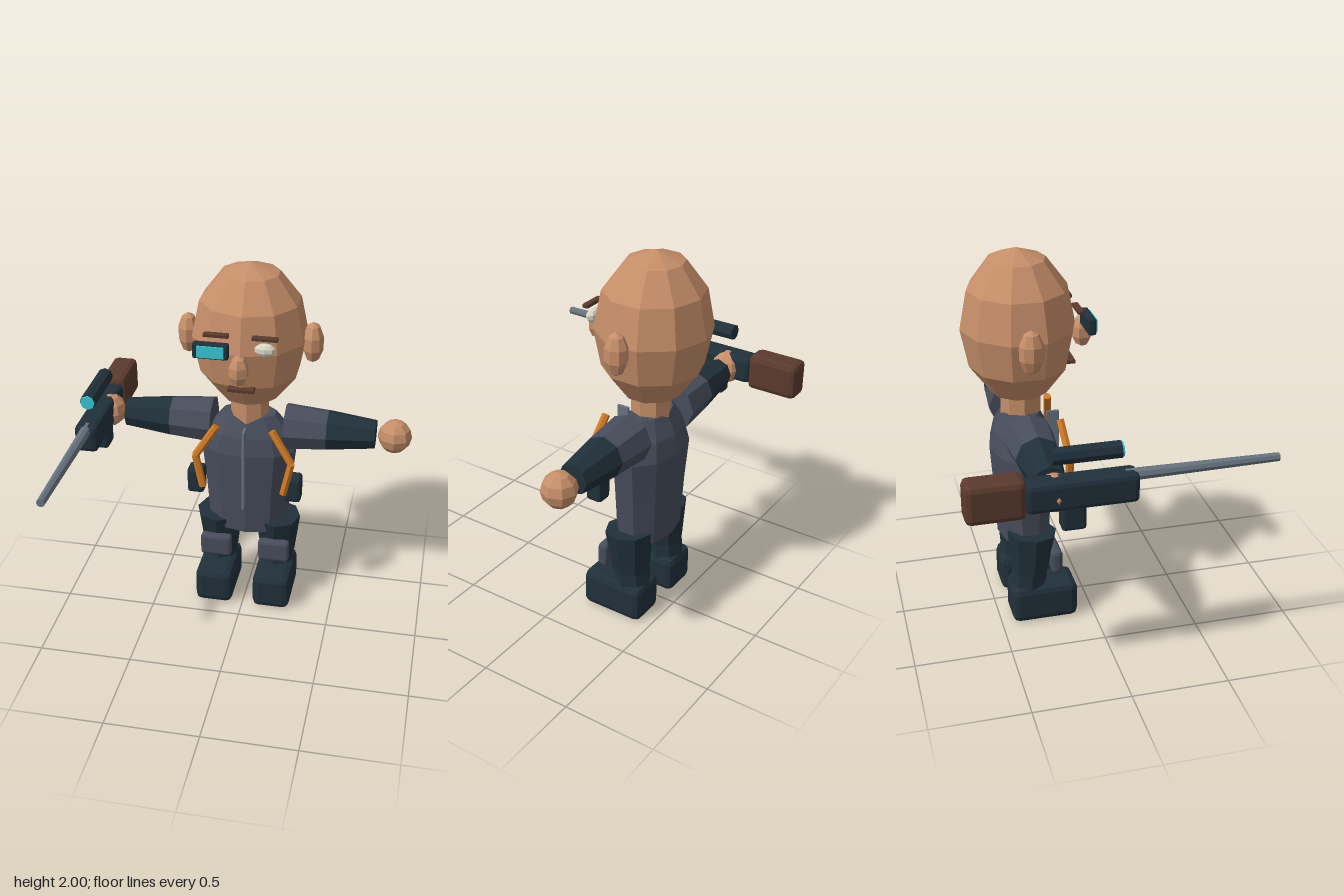
import * as THREE from 'three';
import { RoundedBoxGeometry } from 'three/addons/geometries/RoundedBoxGeometry.js';

const material = (name, color) => {
  const m = new THREE.MeshStandardMaterial({ color, flatShading: true });
  m.name = name;
  return m;
};

export function createModel() {
  const skin = material('skin', 0xc68e69);
  const jacket = material('jacket grey', 0x474d5b);
  const dark = material('dark navy', 0x20303a);
  const brown = material('brown', 0x5a3a2d);
  const orange = material('orange', 0xd27b24);
  const cyan = material('cyan glass', 0x36c8d4);
  const eyeWhite = material('eye white', 0xd9d8c6);
  const metal = material('metal', 0x67737f);

  const model = new THREE.Group();
  model.name = 'riflemanFigure';

  const add = (name, geometry, mat, x = 0, y = 0, z = 0, parent = model) => {
    const mesh = new THREE.Mesh(geometry, mat);
    mesh.name = name;
    mesh.position.set(x, y, z);
    parent.add(mesh);
    return mesh;
  };
  // Faceted ellipsoid with a vertex column facing the front
  const ball = (name, mat, [x, y, z], [rx, ry, rz], sides, rings, parent) =>
    add(name, new THREE.SphereGeometry(1, sides, rings).rotateY(Math.PI / 2).scale(rx, ry, rz), mat, x, y, z, parent);
  // Chamfered block given by its lower and upper corners
  const block = (name, mat, a, b, bevel, parent) => {
    const size = b.map((v, i) => v - a[i]);
    const mid = b.map((v, i) => (v + a[i]) / 2);
    return add(name, new RoundedBoxGeometry(...size, 1, bevel), mat, ...mid, parent);
  };
  // Tapered prism running from point a to point b
  const limb = (name, mat, a, b, ra, rb, sides = 8, parent = model) => {
    const from = new THREE.Vector3(...a), to = new THREE.Vector3(...b);
    const dir = to.clone().sub(from);
    const mesh = add(name, new THREE.CylinderGeometry(rb, ra, dir.length(), sides), mat, 0, 0, 0, parent);
    mesh.position.copy(from).add(to).multiplyScalar(0.5);
    mesh.quaternion.setFromUnitVectors(new THREE.Vector3(0, 1, 0), dir.normalize());
    return mesh;
  };

  // Head and face
  ball('head', skin, [0, 1.6, -0.33], [0.31, 0.4, 0.293], 10, 6);
  limb('neck', skin, [0, 1.1, -0.325], [0, 1.26, -0.325], 0.105, 0.105);
  ball('nose', skin, [0, 1.54, 0], [0.056, 0.085, 0.055], 6, 5);
  ball('eye', eyeWhite, [0.125, 1.64, -0.06], [0.056, 0.036, 0.03], 8, 5);
  block('mouth', brown, [-0.07, 1.39, -0.1], [0.07, 1.41, -0.05], 0.004);
  for (const s of [1, -1]) {
    ball('ear', skin, [s * 0.332, 1.58, -0.33], [0.058, 0.114, 0.065], 8, 5);
    block('eyebrow', brown, [s * 0.125 - 0.066, 1.695, -0.068], [s * 0.125 + 0.066, 1.715, -0.036], 0.004);
  }

  // Eyepiece over the right eye
  block('eyepiece', dark, [-0.235, 1.597, -0.025], [-0.05, 1.683, 0.016], 0.01);
  add('eyepieceLens', new THREE.BoxGeometry(0.138, 0.062, 0.009), cyan, -0.141, 1.64, 0.02);

  // Jacket body, flattened front to back
  const profile = [[0, 0.44], [0.225, 0.44], [0.246, 0.72], [0.27, 0.94], [0.235, 1.04], [0.15, 1.145], [0, 1.15]];
  add('torso', new THREE.LatheGeometry(profile.map(p => new THREE.Vector2(...p)), 10).scale(1, 1, 0.62), jacket, 0, 0, -0.328);
  block('zip', metal, [-0.007, 0.63, -0.19], [0.007, 1.11, -0.125], 0.002);

  for (const s of [1, -1]) {
    // Sleeves
    limb('upperArm', jacket, [s * 0.2, 1.07, -0.328], [s * 0.435, 1.07, -0.328], 0.13, 0.111);
    limb('forearm', dark, [s * 0.43, 1.07, -0.328], [s * 0.688, 1.07, -0.328], 0.112, 0.08);
    ball('hand', skin, [s * 0.79, 1.07, -0.328], [0.092, 0.092, 0.092], 8, 6);

    // Harness strap and pouch
    const path = [[0.15, 1.125, -0.152], [0.262, 0.95, -0.128], [0.222, 0.76, -0.125]].map(([x, y, z]) => [s * x, y, z]);
    limb('strapUpper', orange, path[0], path[1], 0.021, 0.021, 6);
    limb('strapLower', orange, path[1], path[2], 0.021, 0.021, 6);
    const px = s * 0.268;
    block('pouch', dark, [px - 0.047, 0.7, -0.23], [px + 0.047, 0.85, -0.137], 0.018);

    // Leg, knee pad and boot
    const lx = s * 0.165;
    limb('thigh', dark, [lx, 0.27, -0.328], [lx, 0.505, -0.313], 0.1, 0.13);
    limb('shin', dark, [lx, 0.17, -0.338], [lx, 0.29, -0.332], 0.1, 0.092);
    block('kneePad', jacket, [lx - 0.088, 0.27, -0.225], [lx + 0.088, 0.4, -0.168], 0.018);
    block('boot', dark, [lx - 0.105, 0, -0.44], [lx + 0.105, 0.205, -0.088], 0.035);
  }

  // Rifle held in the right hand
  const rifle = new THREE.Group();
  rifle.name = 'rifle';
  rifle.position.x = -0.815;
  model.add(rifle);
  block('stock', brown, [-0.07, 0.99, -0.76], [0.07, 1.19, -0.475], 0.03, rifle);
  block('receiver', dark, [-0.062, 1.008, -0.48], [0.062, 1.157, 0.06], 0.025, rifle);
  limb('barrel', metal, [0, 1.13, 0], [0, 1.13, 0.76], 0.031, 0.022, 8, rifle);
  block('magazine', dark, [-0.043, 0.89, -0.31], [0.043, 1.03, -0.19], 0.018, rifle);
  limb('scope', dark, [0, 1.268, -0.35], [0, 1.268, -0.022], 0.043, 0.043, 8, rifle);
  limb('scopeLens', cyan, [0, 1.268, -0.022], [0, 1.268, -0.013], 0.039, 0.039, 8, rifle);

  return model;
}
